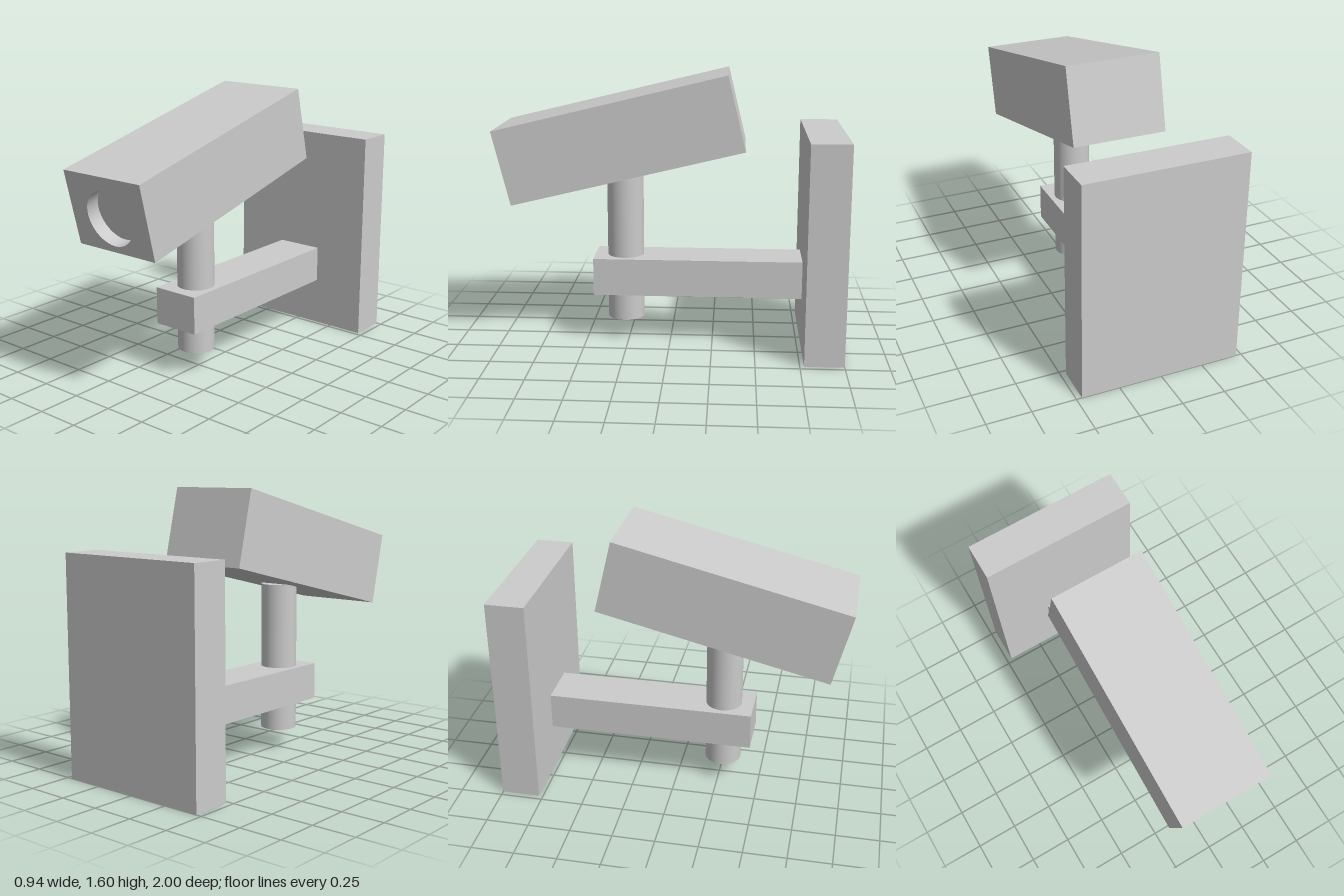
import * as THREE from 'three';

const material = new THREE.MeshStandardMaterial({ color: 0xcccccc });

function add(parent, name, geometry, x, y, z) {
  const mesh = new THREE.Mesh(geometry, material);
  mesh.name = name;
  mesh.position.set(x, y, z);
  parent.add(mesh);
  return mesh;
}

export function createModel() {
  const model = new THREE.Group();
  model.name = 'wallCamera';

  // Wall plate, bracket arm and upright post
  add(model, 'wallPlate', new THREE.BoxGeometry(0.936, 1.26, 0.226), 0, 0.63, -0.887);
  add(model, 'bracketArm', new THREE.BoxGeometry(0.284, 0.22, 1.222), 0, 0.4, -0.161);
  add(model, 'post', new THREE.CylinderGeometry(0.107, 0.107, 0.89, 48), 0, 0.57, 0.27);

  // Camera housing, tilted nose-down
  const width = 0.546, height = 0.437, length = 1.368, recess = 0.08;
  const housing = new THREE.Group();
  housing.name = 'cameraHousing';
  housing.position.set(0, 1.228, 0.284);
  housing.rotation.x = Math.atan2(0.322, 1.33);
  model.add(housing);

  add(housing, 'housingBody', new THREE.BoxGeometry(width, height, length - recess), 0, 0, -recess / 2);

  // Front section with the round lens recess
  const w = width / 2, h = height / 2;
  const face = new THREE.Shape();
  face.moveTo(-w, -h).lineTo(w, -h).lineTo(w, h).lineTo(-w, h).closePath();
  const lens = new THREE.Path();
  lens.absarc(0, -0.021, 0.159, 0, Math.PI * 2, true);
  face.holes.push(lens);
  const front = new THREE.ExtrudeGeometry(face, { depth: recess, bevelEnabled: false, curveSegments: 32 });
  add(housing, 'lensFrame', front, 0, 0, length / 2 - recess);

  return model;
}
